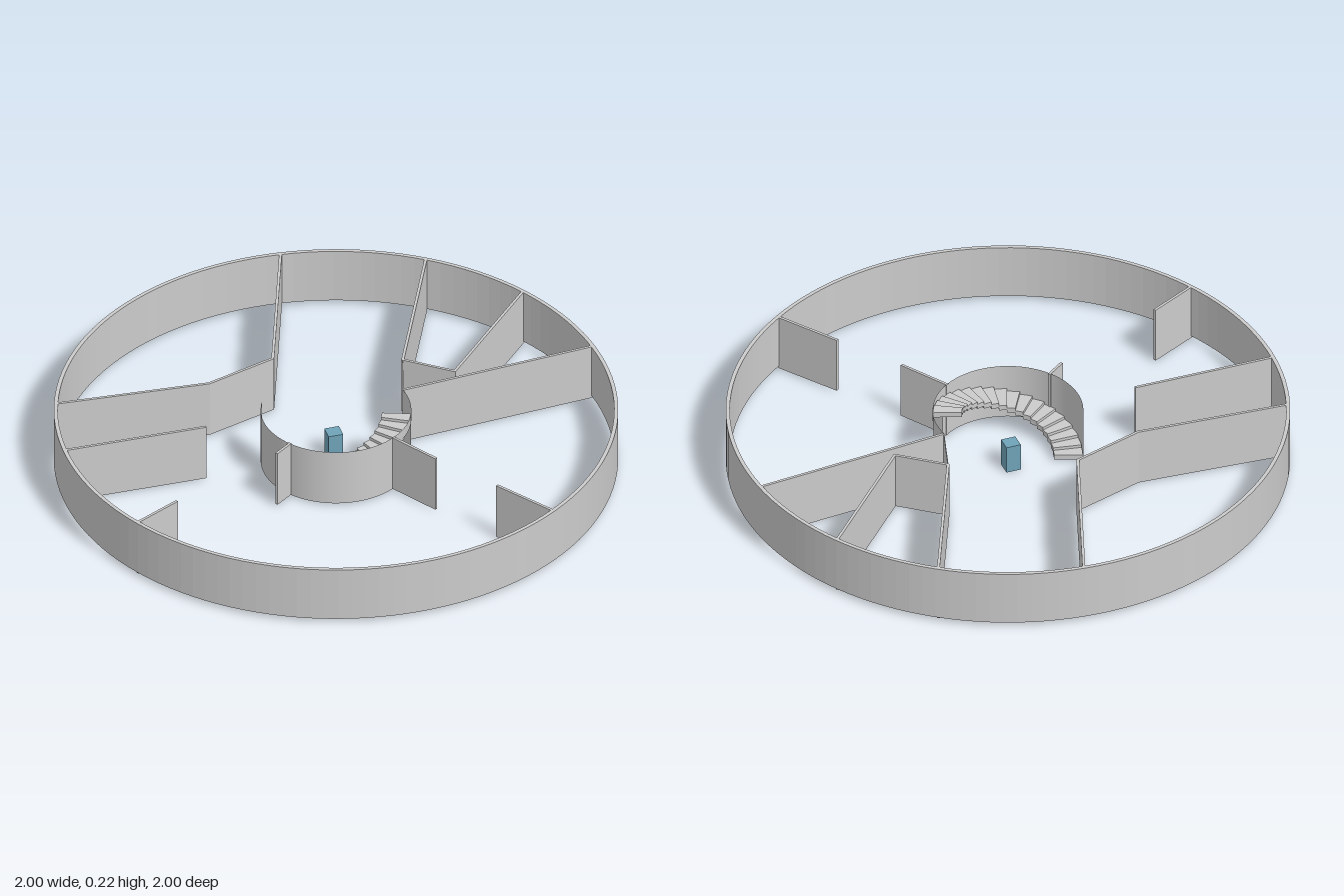
import * as THREE from 'three';

const TOP = 0.225, FLOOR = 0.006;
const rad = THREE.MathUtils.degToRad;

export function createModel() {
  const model = new THREE.Group();
  model.name = 'roundFloorPlan';
  const grey = new THREE.MeshStandardMaterial({ color: 0xcccccc });
  const thin = new THREE.MeshStandardMaterial({ color: 0xcccccc, side: THREE.DoubleSide });
  const blue = new THREE.MeshStandardMaterial({ color: 0x6fa3b8 });

  function add(name, geometry, material = grey, parent = model) {
    const mesh = new THREE.Mesh(geometry, material);
    mesh.name = name;
    parent.add(mesh);
    return mesh;
  }

  // Outer ring wall, closed rectangular section with sharp rims
  const ring = new THREE.Shape().absarc(0, 0, 1, 0, Math.PI * 2);
  ring.holes.push(new THREE.Path().absarc(0, 0, 0.986, 0, Math.PI * 2, true));
  const ringGeo = new THREE.ExtrudeGeometry(ring, { depth: TOP - 0.015, bevelEnabled: false, curveSegments: 64 });
  add('outerWall', ringGeo.rotateX(Math.PI / 2)).position.y = TOP;

  // Straight partitions, each a run of [x, z] points
  function partition(name, points, thickness = 0.01) {
    const group = new THREE.Group();
    group.name = name;
    model.add(group);
    for (let i = 1; i < points.length; i++) {
      const [x0, z0] = points[i - 1], [x1, z1] = points[i];
      const length = Math.hypot(x1 - x0, z1 - z0);
      const wall = add(name + 'Panel', new THREE.BoxGeometry(length + thickness * 0.5, TOP - FLOOR, thickness), grey, group);
      wall.position.set((x0 + x1) / 2, (TOP + FLOOR) / 2, (z0 + z1) / 2);
      wall.rotation.y = -Math.atan2(z1 - z0, x1 - x0);
    }
  }
  partition('backRoomWall', [[-0.915, -0.378], [-0.365, -0.31], [-0.1, -0.378], [0.148, -0.975]]);
  partition('cornerRoomWall', [[0.62, -0.768], [0.33, -0.213], [0.478, -0.082], [0.875, -0.464]]);
  partition('longSideWall', [[0.27, -0.036], [0.985, -0.06]]);
  partition('rightSideWall', [[-0.985, -0.095], [-0.47, -0.06]]);
  partition('rightStubWall', [[-0.9, 0.415], [-0.727, 0.34]]);
  partition('coreStubWall', [[-0.29, 0.182], [-0.225, 0.14]]);
  partition('coreFrontWall', [[0.132, 0.232], [0.228, 0.405]]);
  partition('frontStubWall', [[0.375, 0.64], [0.503, 0.848]]);
  partition('coreLinkWall', [[0.33, -0.213], [0.266, -0.036]], 0.003);

  // Curved core wall with a doorway under a lintel; angles run from +x to +z
  function coreArc(name, from, to, bottom) {
    const geo = new THREE.CylinderGeometry(0.267, 0.267, TOP - bottom, Math.ceil((to - from) / 4), 1, true,
      rad(90 - to), rad(to - from));
    add(name, geo, thin).position.y = (TOP + bottom) / 2;
  }
  coreArc('coreWallLeft', -8, 16, FLOOR);
  coreArc('doorLintel', 16, 54, 0.185);
  coreArc('coreWall', 54, 211, FLOOR);

  // Curved stair climbing from the right end round the front to the left
  const stairs = new THREE.Group();
  stairs.name = 'stairs';
  model.add(stairs);
  const count = 18, start = 204, sweep = 181 / count;
  for (let i = 0; i < count; i++) {
    const a1 = rad(start - i * sweep), a0 = rad(start - (i + 1) * sweep);
    const tread = new THREE.Shape();
    tread.absarc(0, 0, 0.265, a0, a1, false);
    tread.absarc(0, 0, 0.163, a1, a0, true);
    const geo = new THREE.ExtrudeGeometry(tread, { depth: 0.02, bevelEnabled: false, curveSegments: 3 });
    add('step', geo.rotateX(Math.PI / 2), grey, stairs).position.y = 0.027 + i * 0.0112;
  }

  // Small block standing in the middle
  const block = add('centreBlock', new THREE.BoxGeometry(0.054, 0.108, 0.054), blue);
  block.position.set(0.004, 0.054, -0.034);
  block.rotation.y = -0.06;

  return model;
}
